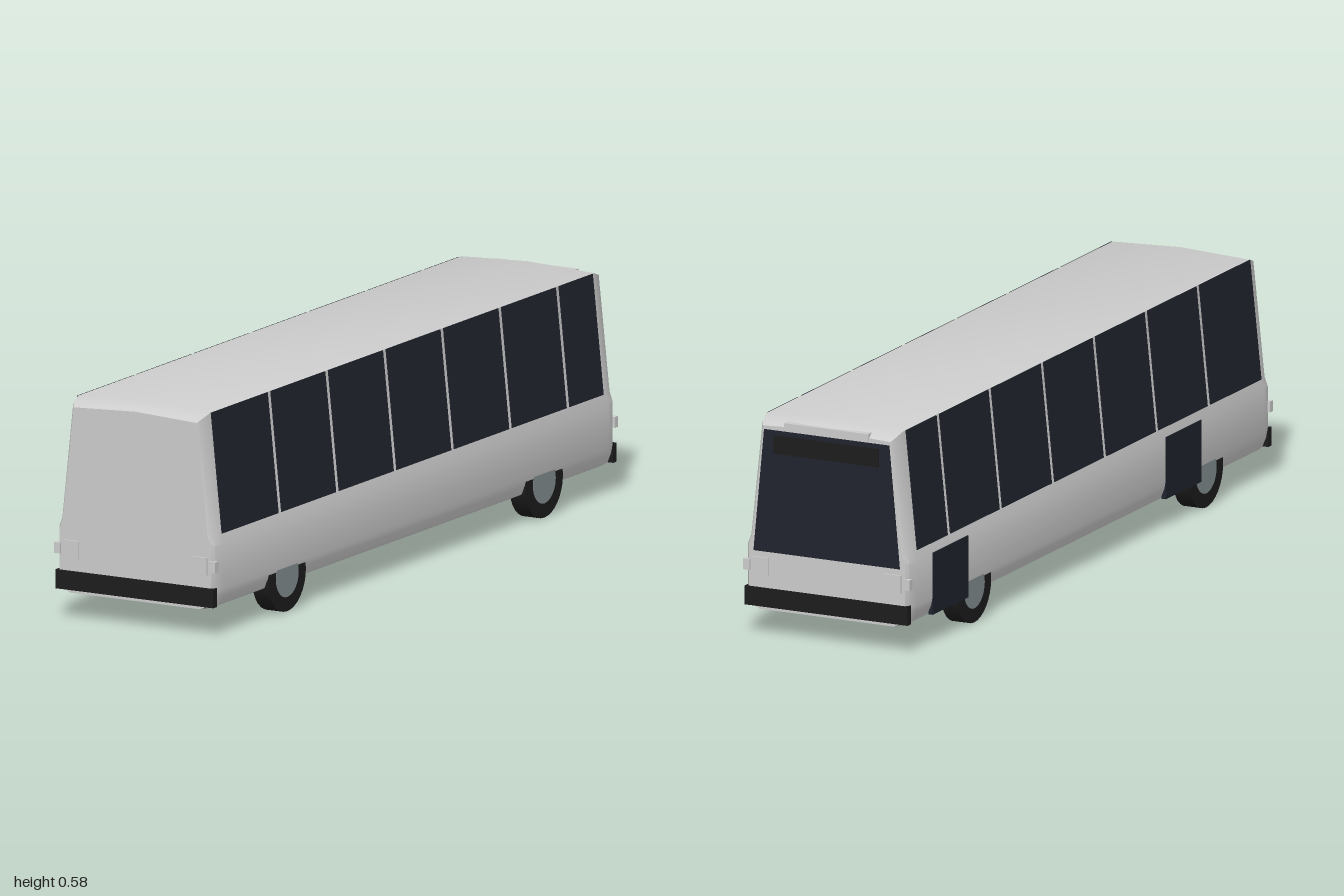
import * as THREE from 'three';
import { toCreasedNormals } from 'three/addons/utils/BufferGeometryUtils.js';

const mat = (color) => new THREE.MeshStandardMaterial({ color });
const GREY = mat(0xcccccc);
const GLASS = mat(0x20232d);
const BLACK = mat(0x1c1c1c);
const HUB = mat(0x858e92);

function add(parent, name, geometry, material) {
  const mesh = new THREE.Mesh(geometry, material);
  mesh.name = name;
  parent.add(mesh);
  return mesh;
}

// Box given by its limits
function block(parent, name, material, [x0, x1], [y0, y1], [z0, z1]) {
  const g = new THREE.BoxGeometry(x1 - x0, y1 - y0, z1 - z0);
  g.translate((x0 + x1) / 2, (y0 + y1) / 2, (z0 + z1) / 2);
  return add(parent, name, g, material);
}

// Flat polygon in xy, extruded from z0 to z1
function slab(parent, name, material, points, z0, z1) {
  const shape = new THREE.Shape(points.map(([x, y]) => new THREE.Vector2(x, y)));
  const g = new THREE.ExtrudeGeometry(shape, { depth: z1 - z0, bevelEnabled: false });
  g.translate(0, 0, z0);
  return add(parent, name, g, material);
}

// Body shell: one cross-section lofted along z, drawn in at both ends
function bodyGeometry() {
  const half = [[0.205, 0.068], [0.222, 0.076], [0.232, 0.1], [0.236, 0.12], [0.236, 0.235],
    [0.227, 0.258], [0.195, 0.569]];
  const ring = [...half, [0, 0.578], ...half.map(([x, y]) => [-x, y]).reverse()];
  // z, side inset, roof drop
  const ends = [[0.995, 0.014, 0.02], [0.985, 0.007, 0.012], [0.95, 0, 0]];
  const sections = [...ends, ...ends.map(([z, i, d]) => [-z, i, d]).reverse()];
  const n = ring.length;
  const pos = [], index = [];
  for (const [z, inset, drop] of sections) {
    for (const [x, y] of ring) {
      pos.push(x - Math.sign(x) * inset, y > 0.5 ? y - drop : y, z);
    }
  }
  for (let s = 0; s < sections.length - 1; s++) {
    for (let i = 0; i < n; i++) {
      const a = s * n + i, b = s * n + (i + 1) % n;
      index.push(a, a + n, b, b, a + n, b + n);
    }
  }
  // End caps
  const last = (sections.length - 1) * n;
  for (let i = 1; i < n - 1; i++) {
    index.push(0, i, i + 1, last, last + i + 1, last + i);
  }
  const g = new THREE.BufferGeometry();
  g.setAttribute('position', new THREE.Float32BufferAttribute(pos, 3));
  g.setIndex(index);
  return toCreasedNormals(g, 0.5);
}

export function createModel() {
  const bus = new THREE.Group();
  bus.name = 'bus';
  add(bus, 'body', bodyGeometry(), GREY);

  // Side windows, wheels and corner lamps, mirrored for the other side
  const pillars = [-0.765, -0.48, -0.193, 0.092, 0.378, 0.663];
  const edges = [-0.948, ...pillars, 0.958];
  const pane = [[0.222, 0.26], [0.2295, 0.26], [0.1975, 0.569], [0.19, 0.569]];
  for (const side of [1, -1]) {
    const half = new THREE.Group();
    half.name = side > 0 ? 'leftSide' : 'rightSide';
    half.scale.x = side;
    bus.add(half);

    for (let i = 0; i < edges.length - 1; i++) {
      slab(half, 'sideWindow', GLASS, pane, edges[i] + 0.008, edges[i + 1] - 0.008);
    }

    for (const z of [0.637, -0.637]) {
      const wheel = new THREE.Group();
      wheel.name = 'wheel';
      wheel.position.set(0.2105, 0.093, z);
      wheel.rotation.z = -Math.PI / 2;
      half.add(wheel);
      add(wheel, 'tyre', new THREE.CylinderGeometry(0.093, 0.093, 0.047, 32), BLACK);
      add(wheel, 'hub', new THREE.CylinderGeometry(0.056, 0.056, 0.049, 32), HUB);
    }

    for (const end of [1, -1]) {
      const span = (a, b) => (end > 0 ? [a, b] : [-b, -a]);
      block(half, 'endLamp', GREY, [0.166, 0.212], [0.158, 0.204], span(0.985, 0.999));
      block(half, 'cornerLamp', GREY, [0.218, 0.237], [0.167, 0.195], span(0.983, 0.999));
    }
  }

  // Bumpers
  block(bus, 'bumper', BLACK, [-0.232, 0.232], [0.076, 0.125], [0.982, 1]);
  block(bus, 'bumper', BLACK, [-0.232, 0.232], [0.076, 0.125], [-1, -0.982]);

  // Door panels on one side only
  for (const z of [-0.87, 0.41]) {
    block(bus, 'door', GLASS, [-0.237, -0.225], [0.075, 0.237], [z, z + 0.195]);
  }

  // Windscreen with display box and roof-edge strip
  slab(bus, 'windscreen', GLASS,
    [[-0.208, 0.22], [0.208, 0.22], [0.178, 0.54], [-0.178, 0.54]], -0.997, -0.99);
  block(bus, 'displayBox', BLACK, [-0.15, 0.15], [0.48, 0.528], [-1, -0.985]);
  block(bus, 'roofStrip', GREY, [-0.12, 0.12], [0.545, 0.563], [-0.999, -0.975]);

  return bus;
}
